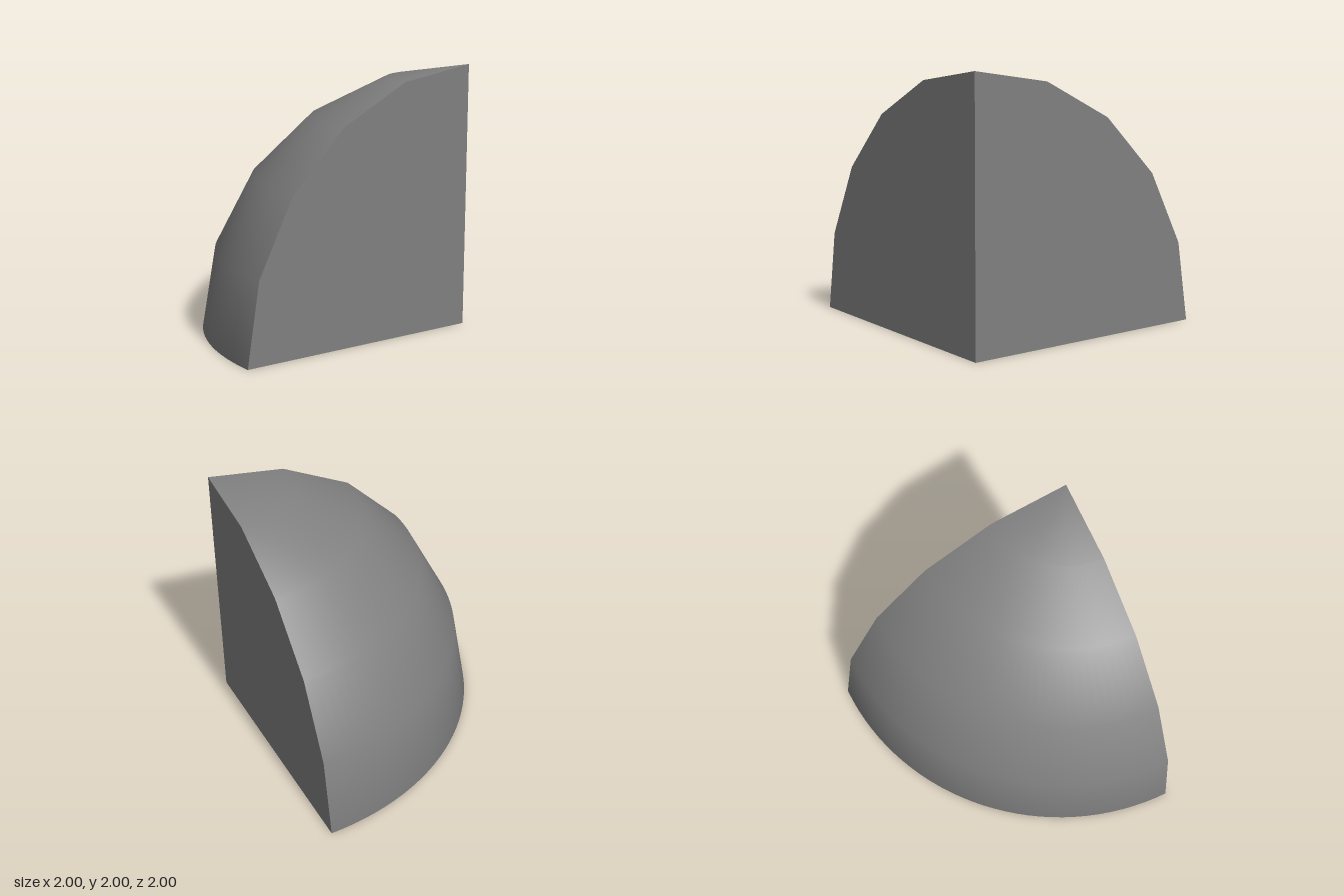
import * as THREE from 'three';

const RADIUS = 2, RINGS = 5, SEGMENTS = 32, QUARTER = Math.PI / 2;

export function createModel() {
  const group = new THREE.Group();
  group.name = 'sphereOctant';
  const material = new THREE.MeshStandardMaterial({ color: 0x808080 });

  // Every part shares the sphere centre at the front left bottom corner
  const add = (name, geometry) => {
    const mesh = new THREE.Mesh(geometry, material);
    mesh.name = name;
    mesh.position.set(1, 0, 1);
    group.add(mesh);
  };

  // Smooth curved shell, coarse in height and fine around
  add('curvedShell', new THREE.SphereGeometry(RADIUS, SEGMENTS, RINGS, 3 * QUARTER, QUARTER, 0, QUARTER));

  // Flat quarter-disc cuts
  const quarterDisc = (segments, start) => new THREE.CircleGeometry(RADIUS, segments, start, QUARTER);
  add('frontFace', quarterDisc(RINGS, QUARTER));
  add('leftFace', quarterDisc(RINGS, 0).rotateY(QUARTER));
  add('baseFace', quarterDisc(SEGMENTS, Math.PI).rotateX(QUARTER));

  return group;
}
